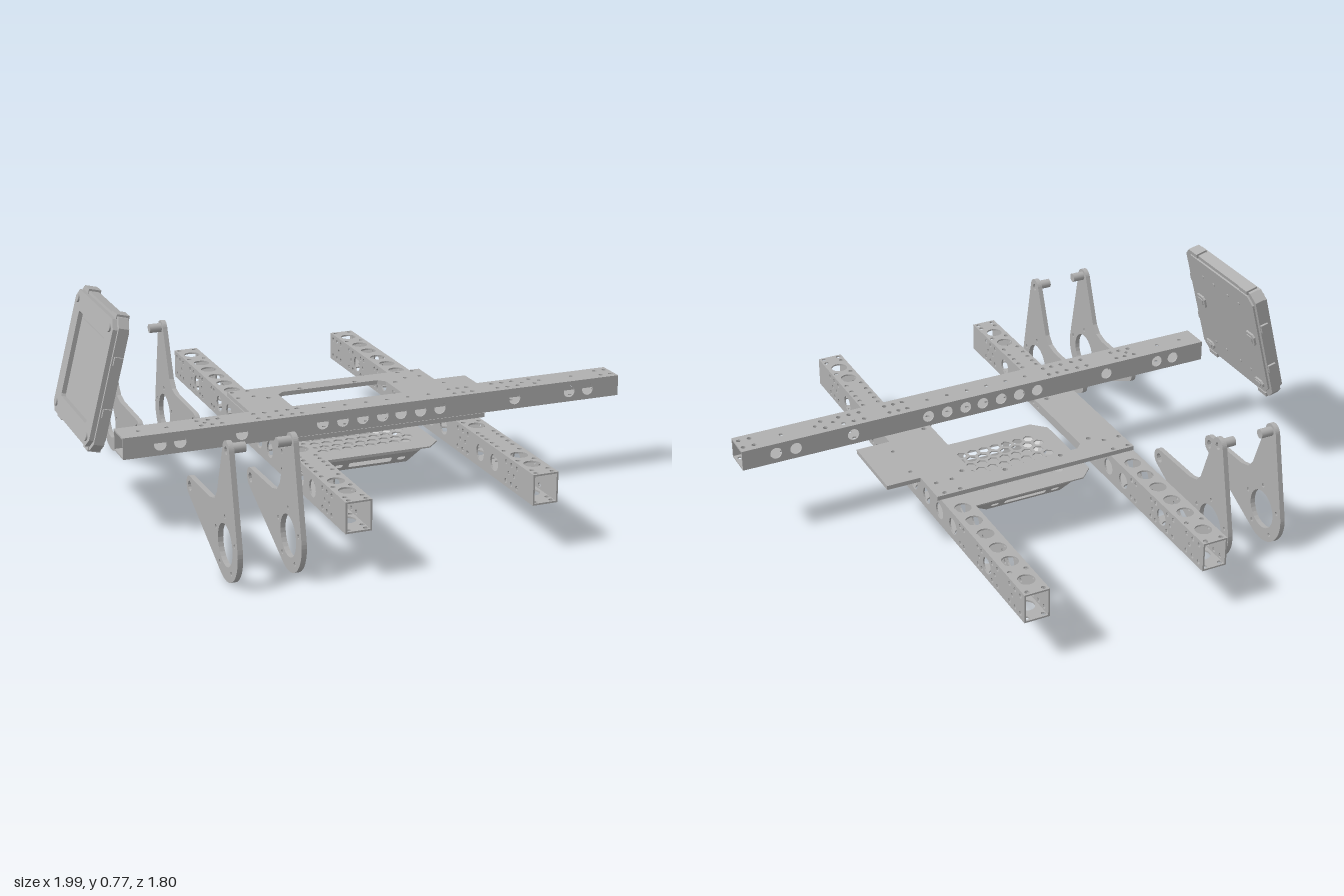
import * as THREE from 'three';

const grey = new THREE.MeshStandardMaterial({ color: 0xb0b0b0, side: THREE.DoubleSide });
grey.name = 'metal grey';

// ---- outline helpers: every outline is a list of 2D points ----
const P = (x, y) => new THREE.Vector2(x, y);
function arc(x, y, r, a0, a1, n = 14) {
  return Array.from({ length: n + 1 }, (_, i) => {
    const a = THREE.MathUtils.degToRad(a0 + ((a1 - a0) * i) / n);
    return P(x + r * Math.cos(a), y + r * Math.sin(a));
  });
}
const circle = (x, y, r, n = r > 0.016 ? 20 : 8) => arc(x, y, r, 0, 360 - 360 / n, n - 1);
function rect(x, y, w, h, c = 0) {
  const a = w / 2, b = h / 2;
  if (!c) return [P(x - a, y - b), P(x + a, y - b), P(x + a, y + b), P(x - a, y + b)];
  return [P(x - a + c, y - b), P(x + a - c, y - b), P(x + a, y - b + c), P(x + a, y + b - c),
    P(x + a - c, y + b), P(x - a + c, y + b), P(x - a, y + b - c), P(x - a, y - b + c)];
}
function shapeOf(outline, holes = []) {
  const s = new THREE.Shape(outline);
  for (const h of holes) s.holes.push(new THREE.Path(h));
  return s;
}
// Plate lying in XY, thickness centred on z = 0
function plate(outline, holes, t) {
  return new THREE.ExtrudeGeometry(shapeOf(outline, holes), { depth: t, bevelEnabled: false }).translate(0, 0, -t / 2);
}
const lieFlat = (g) => g.rotateX(Math.PI / 2); // (x, y) becomes (x, z)
const faceSide = (g) => g.rotateY(-Math.PI / 2); // (x, y) becomes (z, y)

function add(parent, name, geo, x = 0, y = 0, z = 0) {
  const m = new THREE.Mesh(geo, grey);
  m.name = name;
  m.position.set(x, y, z);
  parent.add(m);
  return m;
}

// ---- hollow drilled tube along x: big holes, and pairs of bolt holes ----
function tube(name, len, w, h, top, side) {
  const g = new THREE.Group(), t = 0.006;
  g.name = name;
  const drill = ({ big, r, pairs, v, singles = [] }) => {
    const holes = big.map((x) => circle(x, 0, r));
    for (const x of pairs) for (const s of [-v, v])
      if (big.every((b) => Math.hypot(b - x, s) > r + 0.012)) holes.push(circle(x, s, 0.009));
    for (const x of singles) holes.push(circle(x, 0, 0.008));
    return holes;
  };
  for (const s of [-1, 1]) {
    add(g, 'tubeTopOrBottomWall', lieFlat(plate(rect(0, 0, len, w), drill(top), t)), 0, (s * (h - t)) / 2, 0);
    add(g, 'tubeSideWall', plate(rect(0, 0, len, h - 2 * t), drill(side), t), 0, 0, (s * (w - t)) / 2);
  }
  return g;
}

// ---- swing bracket with bearing ring, upper eye and tail eye ----
function bracket(x, back, pegSide) {
  const g = new THREE.Group();
  g.name = back ? 'backBracket' : 'frontBracket';
  const flip = (pts) => (back ? pts.map((p) => P(0.145 - p.x, p.y)) : pts);
  const outline = [
    ...arc(0.77, 0.453, 0.032, 12, 168),
    P(0.672, 0.28), P(0.645, 0.25), P(0.6, 0.238),
    ...arc(0.385, 0.2, 0.035, 88, 242),
    ...arc(0.747, 0.125, 0.122, 242, 372, 20),
  ];
  const holes = [circle(0.747, 0.125, 0.072, 28), circle(0.77, 0.453, 0.014, 12), circle(0.385, 0.2, 0.018, 12)];
  for (let i = 0; i < 5; i++) {
    const a = (i * 72 + 18) * Math.PI / 180;
    holes.push(circle(0.747 + 0.097 * Math.cos(a), 0.125 + 0.097 * Math.sin(a), 0.008));
  }
  add(g, 'bracketPlate', faceSide(plate(flip(outline), holes.map(flip), 0.018)), x, 0, 0);
  const peg = new THREE.CylinderGeometry(0.017, 0.017, 0.055, 20).rotateZ(Math.PI / 2);
  add(g, 'bracketPeg', peg, x + pegSide * 0.027, 0.458, back ? -0.625 : 0.77);
  return g;
}

// ---- shallow tray with sloping slotted walls and a honeycomb deck ----
function tray() {
  const g = new THREE.Group();
  g.name = 'tray';
  g.position.set(0.06, 0.1, 0.026);
  const A = 0.228, B = 0.192, in0 = 0.034, c = 0.045, h = 0.048;
  const a = A - in0, b = B - in0;
  for (let k = 0; k < 4; k++) {
    const [U, W] = k % 2 ? [B, A] : [A, B];
    const low = [P(-(U - in0 - c), 0), P(U - in0 - c, 0), P(U - c, h), P(-(U - c), h)];
    const e = U - in0 - c;
    const slots = [rect(0, 0.021, 0.165, 0.02, 0.004)];
    for (const s of [-1, 1]) slots.push(rect(s * (e - 0.028), 0.021, 0.03, 0.014, 0.005));
    const wall = new THREE.ShapeGeometry(shapeOf(low, slots));
    const p = wall.attributes.position;
    for (let i = 0; i < p.count; i++) p.setZ(i, W - in0 + (in0 * p.getY(i)) / h);
    wall.computeVertexNormals();
    add(g, 'traySlopingWall', wall.rotateY((k * Math.PI) / 2));
  }
  for (const sx of [-1, 1]) for (const sz of [-1, 1]) {
    const v = [[a - c, 0, b], [a, 0, b - c], [A, h, B - c], [A - c, h, B]].map(([x, y, z]) => [x * sx, y, z * sz]);
    const order = sx * sz > 0 ? [0, 1, 2, 0, 2, 3] : [0, 2, 1, 0, 3, 2];
    const geo = new THREE.BufferGeometry();
    geo.setAttribute('position', new THREE.Float32BufferAttribute(order.flatMap((i) => v[i]), 3));
    geo.computeVertexNormals();
    add(g, 'trayCorner', geo);
  }
  const vents = [];
  for (const x of [-0.08, -0.03, 0.03, 0.08]) for (const z of [-0.06, 0, 0.06]) vents.push(circle(x, z, 0.006));
  add(g, 'trayFloor', lieFlat(plate(rect(0, 0, 2 * a, 2 * b, c), vents, 0.006)), 0, 0.003, 0);
  add(g, 'trayRim', lieFlat(plate(rect(0, 0, 2 * A, 2 * B, c), [rect(0, 0, 2 * A - 0.02, 2 * B - 0.02, c)], 0.014)), 0, 0.055, 0);
  const cells = [];
  for (let r = -3; r <= 3; r++) for (let q = -4; q <= 4; q++) {
    const x = q * 0.046 + (r % 2 ? 0.023 : 0), z = r * 0.041;
    if (Math.abs(x) < 0.19) cells.push(circle(x, z, 0.02, 6).map((p) => P(x + p.y - z, z + p.x - x)));
  }
  add(g, 'trayHoneycombDeck', lieFlat(plate(rect(0, 0, 0.53, 0.43, 0.05), cells, 0.005)), 0, 0.0645, 0);
  return g;
}

// ---- tilted rugged display panel ----
function panel() {
  const g = new THREE.Group();
  g.name = 'displayPanel';
  g.position.set(-0.907, 0.54, 0.027);
  g.rotation.z = -0.25;
  const W = 0.49, H = 0.464;
  add(g, 'panelBody', faceSide(plate(rect(0, 0, W, H, 0.03), [], 0.036)), 0.006, 0, 0);
  add(g, 'panelBackCover', faceSide(plate(rect(0, 0, W - 0.03, H - 0.03, 0.03), [], 0.008)), 0.027, 0, 0);
  add(g, 'panelBezel', faceSide(plate(rect(0, 0, W - 0.02, H - 0.02, 0.03), [rect(0, 0, 0.33, 0.31, 0.008)], 0.016)), -0.02, 0, 0);
  add(g, 'panelScreen', new THREE.BoxGeometry(0.006, 0.27, 0.29), -0.014, 0, 0);
  for (const s of [-1, 1]) {
    for (const y of [0.02, -0.183]) {
      const tall = y > 0 ? 0.05 : 0.03;
      add(g, 'panelFoot', faceSide(plate(rect(0, 0, 0.06, tall, 0.01), [], 0.01)), 0.034, y, s * 0.175);
      add(g, 'panelFootPad', faceSide(plate(rect(0, 0, 0.036, tall * 0.6, 0.005), [], 0.004)), 0.04, y, s * 0.175);
    }
    for (const y of [-1, 1]) {
      add(g, 'panelLatch', new THREE.BoxGeometry(0.045, 0.016, 0.055), 0.008, y * 0.231, s * 0.175);
      add(g, 'panelSideClip', new THREE.BoxGeometry(0.03, 0.03, 0.014), 0.008, y * 0.09, s * 0.247);
      for (const z of [0.05, 0.125]) {
        const screw = new THREE.CylinderGeometry(0.006, 0.006, 0.004, 10).rotateZ(Math.PI / 2);
        add(g, 'panelScrew', screw, 0.032, y * 0.15, s * z);
      }
      const knob = new THREE.CylinderGeometry(0.014, 0.014, 0.008, 14).rotateZ(Math.PI / 2);
      add(g, 'panelCornerKnob', knob, -0.03, y * 0.19, s * 0.2);
    }
  }
  return g;
}

export function createModel() {
  const model = new THREE.Group();
  model.name = 'frameAssembly';

  // Two lengthwise rails
  const railTop = {
    big: [-0.82, -0.7, -0.61, -0.515, -0.425, -0.335, -0.1, 0, 0.1, 0.375, 0.705, 0.8], r: 0.03, v: 0.03,
    pairs: [-0.885, -0.76, -0.25, -0.175, 0.22, 0.28, 0.33, 0.45, 0.485, 0.52, 0.56, 0.6, 0.65, 0.755, 0.855, 0.885],
  };
  const railSide = {
    big: [0.61, 0.5, 0.2, 0.09, -0.02, -0.13, -0.24, -0.35, -0.62], r: 0.03, v: 0.034,
    pairs: [0.78, 0.74, 0.7, 0.4, 0.36, 0.32, -0.41, -0.44, -0.55, -0.58, -0.66, -0.7, -0.79, -0.83, -0.87],
    singles: [0.76, 0.72, 0.38, 0.34, -0.56, -0.68, -0.81],
  };
  for (const x of [-0.275, 0.393]) {
    const rail = tube('lengthwiseRail', 1.8, 0.092, 0.108, railTop, railSide);
    rail.rotation.y = -Math.PI / 2;
    rail.position.set(x, 0.22, 0);
    model.add(rail);
  }

  // Cross beam (hole positions are relative to its middle)
  const off = 0.058, rel = (l) => l.map((x) => x - off);
  const beam = tube('crossBeam', 1.876, 0.108, 0.076, {
    big: [], r: 0, v: 0.025,
    pairs: rel([-0.595, -0.555, -0.52, -0.39, -0.35, -0.305, -0.265, -0.23, 0.35, 0.385, 0.42, 0.52, 0.56, 0.6, 0.67, 0.94, 0.98]),
    singles: rel([-0.81, -0.71, -0.575, -0.14, -0.06, 0.02, 0.1, 0.18, 0.26, 0.63, 0.7, 0.83]),
  }, {
    big: rel([-0.75, -0.68, -0.46, -0.165, -0.09, -0.015, 0.06, 0.13, 0.205, 0.28, 0.575, 0.795, 0.87]), r: 0.022, v: 0, pairs: [],
  });
  beam.position.set(off, 0.332, 0.256);
  model.add(beam);

  // Deck plate with a window and a side tab
  const deck = [P(-0.32, -0.26), P(0.455, -0.26), P(0.455, -0.118), P(0.582, -0.118), P(0.582, 0.16), P(0.455, 0.16), P(0.455, 0.31), P(-0.32, 0.31)];
  const deckHoles = [rect(0.06, 0.025, 0.43, 0.42, 0.025), circle(0.47, -0.065, 0.008), circle(0.47, 0.09, 0.008)];
  for (const x of [-0.305, -0.245, 0.36, 0.42]) for (const z of [-0.245, -0.175]) deckHoles.push(circle(x, z, 0.009));
  for (const [x, z] of [[-0.2, -0.14], [0.305, -0.14], [-0.2, 0.19], [0.305, 0.19], [-0.055, -0.2], [0.165, -0.2]])
    deckHoles.push(circle(x, z, 0.01));
  add(model, 'deckPlate', lieFlat(plate(deck, deckHoles, 0.016)), 0, 0.285, 0);

  model.add(tray(), panel());

  // Two pairs of brackets
  for (const back of [false, true]) model.add(bracket(-0.665, back, 1), bracket(-0.45, back, -1));
  return model;
}
